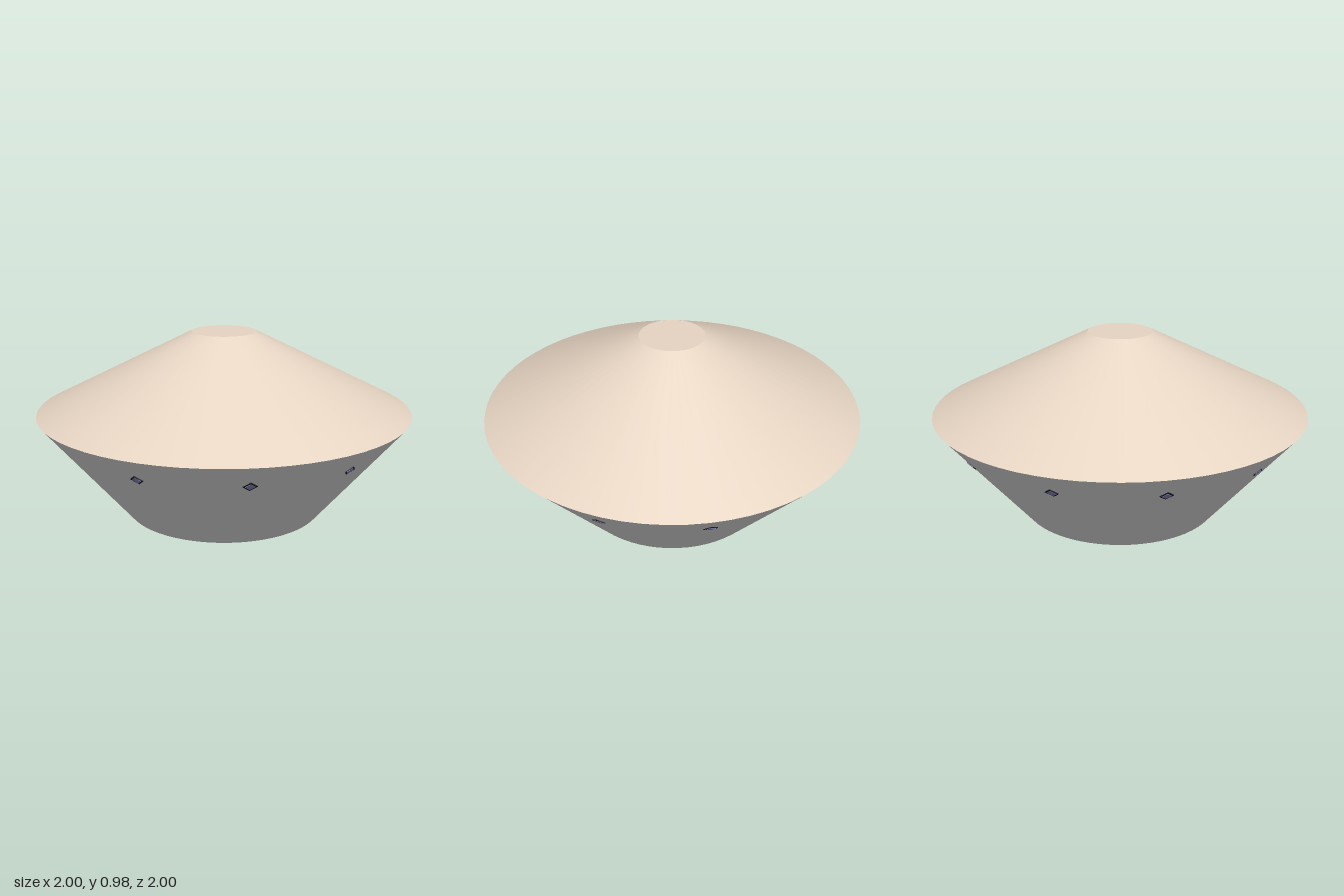
import * as THREE from 'three';

const SIDES = 64;
const RIM_Y = 0.56, TOP_Y = 0.98;
const BASE_R = 0.53, RIM_R = 1, TOP_R = 0.172;

export function createModel() {
  const model = new THREE.Group();
  model.name = 'saucer';

  const paint = (name, color) => {
    const m = new THREE.MeshStandardMaterial({ color });
    m.name = name;
    return m;
  };
  const beige = paint('beige', 0xe8d6c4);
  const grey = paint('grey', 0xe4e4e4);
  const blue = paint('blue', 0x8c8cc6);
  const black = paint('black', 0x1e1e22);

  const add = (parent, name, geometry, material, y = 0) => {
    const mesh = new THREE.Mesh(geometry, material);
    mesh.name = name;
    mesh.position.y = y;
    parent.add(mesh);
  };

  // lower hull: wall flaring out to the rim, with a flat floor
  add(model, 'lowerHull', new THREE.CylinderGeometry(RIM_R, BASE_R, RIM_Y, SIDES, 1, true), grey, RIM_Y / 2);
  add(model, 'floor', new THREE.CircleGeometry(BASE_R, SIDES).rotateX(Math.PI / 2), grey);

  // upper hull: shallow cone with a flat top
  add(model, 'upperHull', new THREE.CylinderGeometry(TOP_R, RIM_R, TOP_Y - RIM_Y, SIDES, 1, true), beige, (TOP_Y + RIM_Y) / 2);
  add(model, 'topCap', new THREE.CircleGeometry(TOP_R, SIDES).rotateX(-Math.PI / 2), beige, TOP_Y);

  // ten framed diamond windows lying on the sloping wall, with a wider gap on one side
  const diamond = (size, depth) => new THREE.BoxGeometry(size, size, depth).rotateZ(Math.PI / 4);
  const frame = diamond(0.049, 0.006);
  const pane = diamond(0.035, 0.009);
  const windowY = 0.439;
  const windowR = BASE_R + (RIM_R - BASE_R) * windowY / RIM_Y;
  const tilt = Math.atan2(RIM_R - BASE_R, RIM_Y);
  for (let i = 0; i < 10; i++) {
    const a = THREE.MathUtils.degToRad(-71.3 + 33.75 * i);
    const unit = new THREE.Group();
    unit.name = 'window' + (i + 1);
    add(unit, 'frame', frame, black);
    add(unit, 'pane', pane, blue);
    unit.position.set(Math.sin(a) * windowR, windowY, Math.cos(a) * windowR);
    unit.rotation.set(tilt, a, 0, 'YXZ');
    model.add(unit);
  }

  return model;
}
